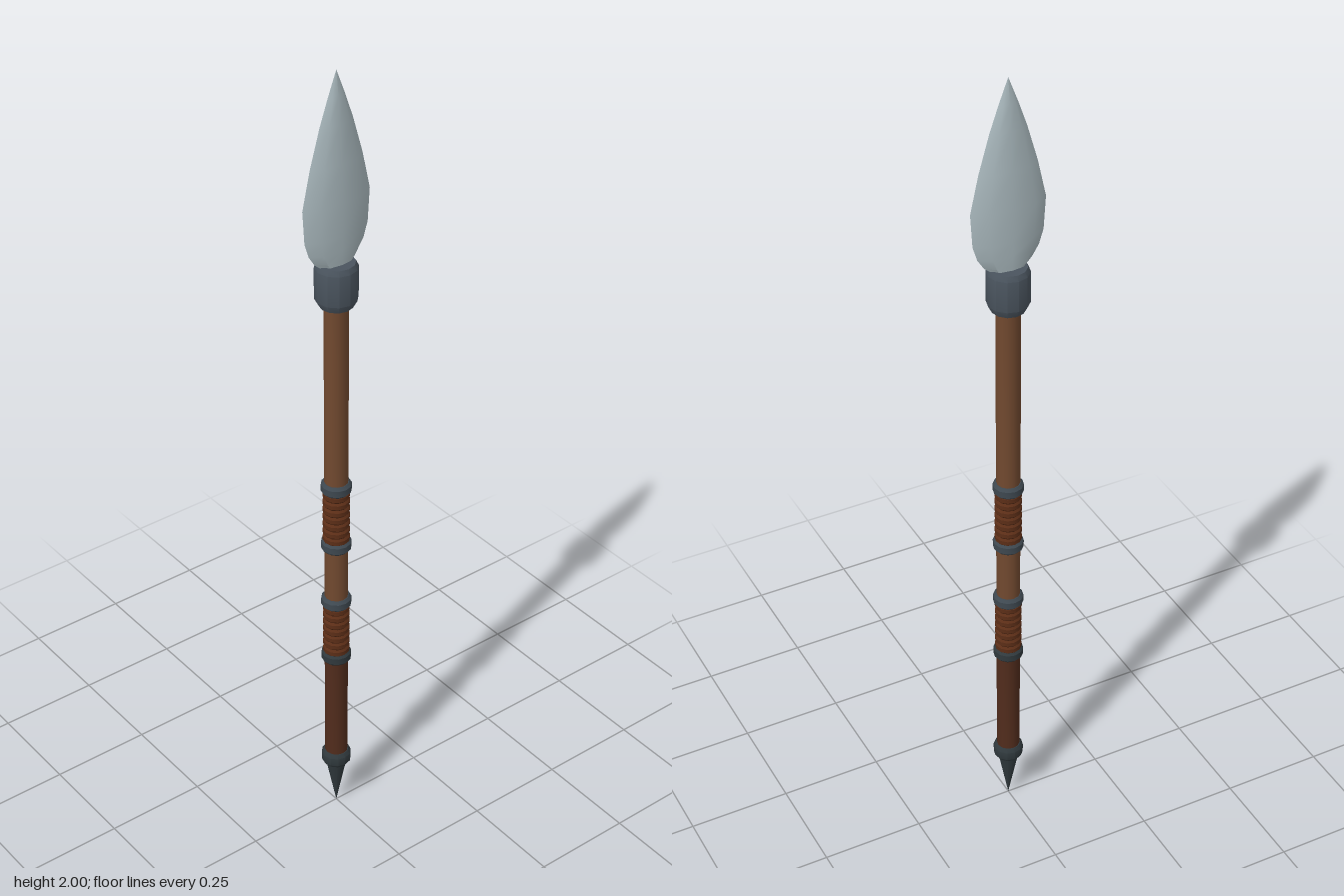
import * as THREE from 'three';
import { toCreasedNormals } from 'three/addons/utils/BufferGeometryUtils.js';

const SIDES = 12;

export function createModel() {
  const group = new THREE.Group();
  const mat = (name, color) => {
    const m = new THREE.MeshStandardMaterial({ color });
    m.name = name;
    return m;
  };
  const wood = mat('brown wood', 0x71492f);
  const darkWood = mat('dark wood', 0x512c1c);
  const leather = mat('leather cord', 0x5c2e17);
  const socketIron = mat('grey iron', 0x4a545e);
  const iron = mat('ring iron', 0x3e4850);
  const darkIron = mat('dark iron', 0x30393d);
  const steel = mat('blade steel', 0xabbabf);

  const add = (name, geometry, material) => {
    const mesh = new THREE.Mesh(geometry, material);
    mesh.name = name;
    group.add(mesh);
  };
  // Turned part from [radius, y] pairs, bottom to top
  const turned = (name, profile, material) => {
    const points = profile.map(([r, y]) => new THREE.Vector2(r, y));
    add(name, toCreasedNormals(new THREE.LatheGeometry(points, SIDES), 0.6), material);
  };
  // Ring with chamfered rims
  const ring = (name, y, h, material) => turned(name, [
    [0, y - h], [0.03, y - h], [0.036, y - h * 0.55],
    [0.036, y + h * 0.55], [0.03, y + h], [0, y + h],
  ], material);

  // Shaft in two tones
  turned('lowerShaft', [[0.028, 0.14], [0.028, 0.47]], darkWood);
  turned('upperShaft', [[0.028, 0.47], [0.028, 1.5]], wood);

  // Pointed butt spike and its collar
  turned('buttSpike', [[0, 0], [0.027, 0.14], [0, 0.14]], darkIron);
  ring('buttCollar', 0.151, 0.02, darkIron);

  // Two grips: a stack of cord turns between a pair of rings
  [[0.47, 0.633, darkIron], [0.798, 0.96, iron]].forEach(([low, high, lowMetal]) => {
    ring('gripRingLower', low, 0.015, lowMetal);
    ring('gripRingUpper', high, 0.015, iron);
    const turns = 7, start = low + 0.01, step = (high - low - 0.02) / turns;
    const profile = [[0.028, start]];
    for (let i = 0; i < turns; i++) {
      const y = start + i * step;
      profile.push([0.032, y + step * 0.25], [0.032, y + step * 0.75], [0.028, y + step]);
    }
    turned('gripCord', profile, leather);
  });

  // Socket holding the blade
  turned('socket', [
    [0, 1.443], [0.039, 1.443], [0.049, 1.462], [0.049, 1.538], [0.043, 1.55], [0, 1.55],
  ], socketIron);

  // Blade: six-sided lens sections as [y, half width, half thickness]
  const sections = [
    [1.51, 0.03, 0.018], [1.54, 0.034, 0.019], [1.56, 0.058, 0.021], [1.585, 0.074, 0.022],
    [1.62, 0.085, 0.023], [1.7, 0.09, 0.024], [1.79, 0.07, 0.02],
    [1.88, 0.044, 0.014], [1.94, 0.023, 0.008], [2, 0, 0],
  ];
  const outline = [[1, 0], [0.62, 0.82], [0, 1], [-0.62, 0.82], [-1, 0], [-0.62, -0.82], [0, -1], [0.62, -0.82]];
  const n = outline.length, positions = [], index = [];
  for (const [y, w, t] of sections) for (const [u, v] of outline) positions.push(u * w, y, v * t);
  for (let s = 0; s < sections.length - 1; s++) {
    for (let i = 0; i < n; i++) {
      const a = s * n + i, b = s * n + (i + 1) % n;
      index.push(a, a + n, b);
      if (s < sections.length - 2) index.push(b, a + n, b + n);
    }
  }
  for (let i = 1; i < n - 1; i++) index.push(0, i, i + 1);
  const blade = new THREE.BufferGeometry();
  blade.setAttribute('position', new THREE.Float32BufferAttribute(positions, 3));
  blade.setIndex(index);
  add('blade', toCreasedNormals(blade, 0.6), steel);

  return group;
}
